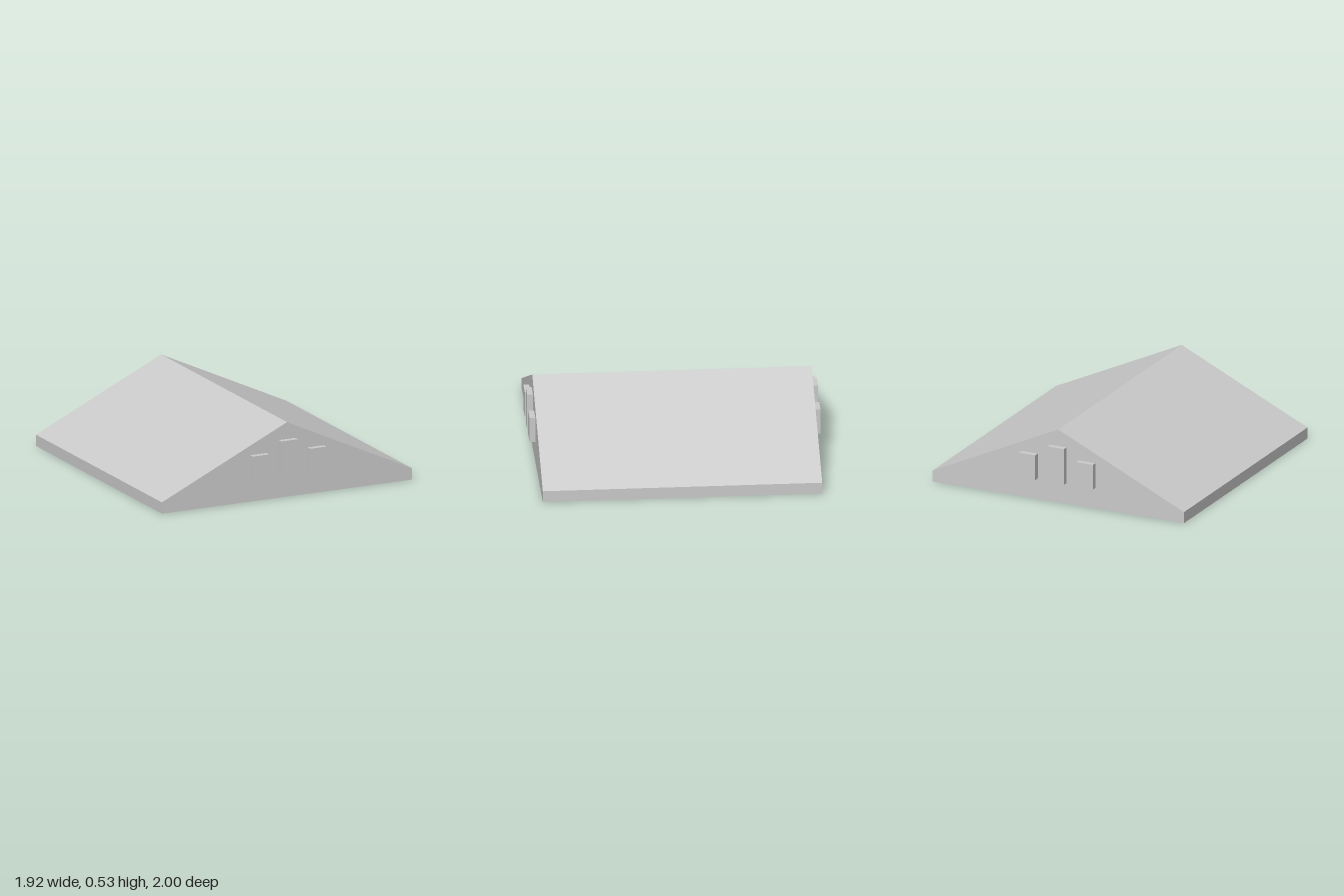
import * as THREE from 'three';

const W = 0.96, D = 0.96, EAVE = 0.08, RIDGE = 0.53;

const shellMat = new THREE.MeshStandardMaterial({ color: 0xcccccc, side: THREE.DoubleSide });
const mat = new THREE.MeshStandardMaterial({ color: 0xcccccc });

function add(parent, name, geometry, x = 0, y = 0, z = 0, material = mat) {
  const mesh = new THREE.Mesh(geometry, material);
  mesh.name = name;
  mesh.position.set(x, y, z);
  parent.add(mesh);
  return mesh;
}

// Thin sheet swept along z between two points of the roof section
function sheet([x0, y0], [x1, y1]) {
  const g = new THREE.PlaneGeometry(Math.hypot(x1 - x0, y1 - y0), 2 * D);
  g.rotateX(-Math.PI / 2);
  g.rotateZ(Math.atan2(y1 - y0, x1 - x0));
  return g.translate((x0 + x1) / 2, (y0 + y1) / 2, 0);
}

// Square beam between two points in the truss plane
function beam(parent, name, [x0, y0], [x1, y1], size) {
  const g = new THREE.BoxGeometry(Math.hypot(x1 - x0, y1 - y0), size, size);
  const m = add(parent, name, g, (x0 + x1) / 2, (y0 + y1) / 2);
  m.rotation.z = Math.atan2(y1 - y0, x1 - x0);
}

function makeTruss() {
  const truss = new THREE.Group();
  truss.name = 'truss';
  beam(truss, 'bottomChord', [-W + 0.005, 0.022], [W - 0.005, 0.022], 0.04);
  beam(truss, 'kingPost', [0, 0.03], [0, RIDGE - 0.01], 0.03);
  for (const s of [-1, 1]) {
    beam(truss, 'sidePost', [s * 0.5, 0.03], [s * 0.5, 0.285], 0.03);
    beam(truss, 'diagonalBrace', [0, 0.03], [s * 0.49, 0.265], 0.03);
  }
  return truss;
}

export function createModel() {
  const model = new THREE.Group();
  model.name = 'gableRoof';

  // Roof slopes and low eave walls
  const section = [[-W, 0], [-W, EAVE], [0, RIDGE], [W, EAVE], [W, 0]];
  const names = ['rightEave', 'rightSlope', 'leftSlope', 'leftEave'];
  names.forEach((n, i) => add(model, n, sheet(section[i], section[i + 1]), 0, 0, 0, shellMat));

  // Gable ends with three raised vents each
  const gable = new THREE.ShapeGeometry(new THREE.Shape(section.map(p => new THREE.Vector2(...p))));
  for (const s of [-1, 1]) {
    const end = new THREE.Group();
    end.name = s > 0 ? 'frontGable' : 'backGable';
    end.rotation.y = s > 0 ? 0 : Math.PI;
    add(end, 'gableWall', gable, 0, 0, D, shellMat);
    for (const [x, top] of [[-0.22, 0.33], [0, 0.41], [0.22, 0.33]]) {
      add(end, 'vent', new THREE.BoxGeometry(0.128, top - 0.15, 0.045), x, (top + 0.15) / 2, 0.9775);
    }
    model.add(end);
  }

  // Row of trusses under the roof
  for (let i = 0; i < 4; i++) {
    const truss = makeTruss();
    truss.position.z = (i - 1.5) * 0.43;
    model.add(truss);
  }
  return model;
}
